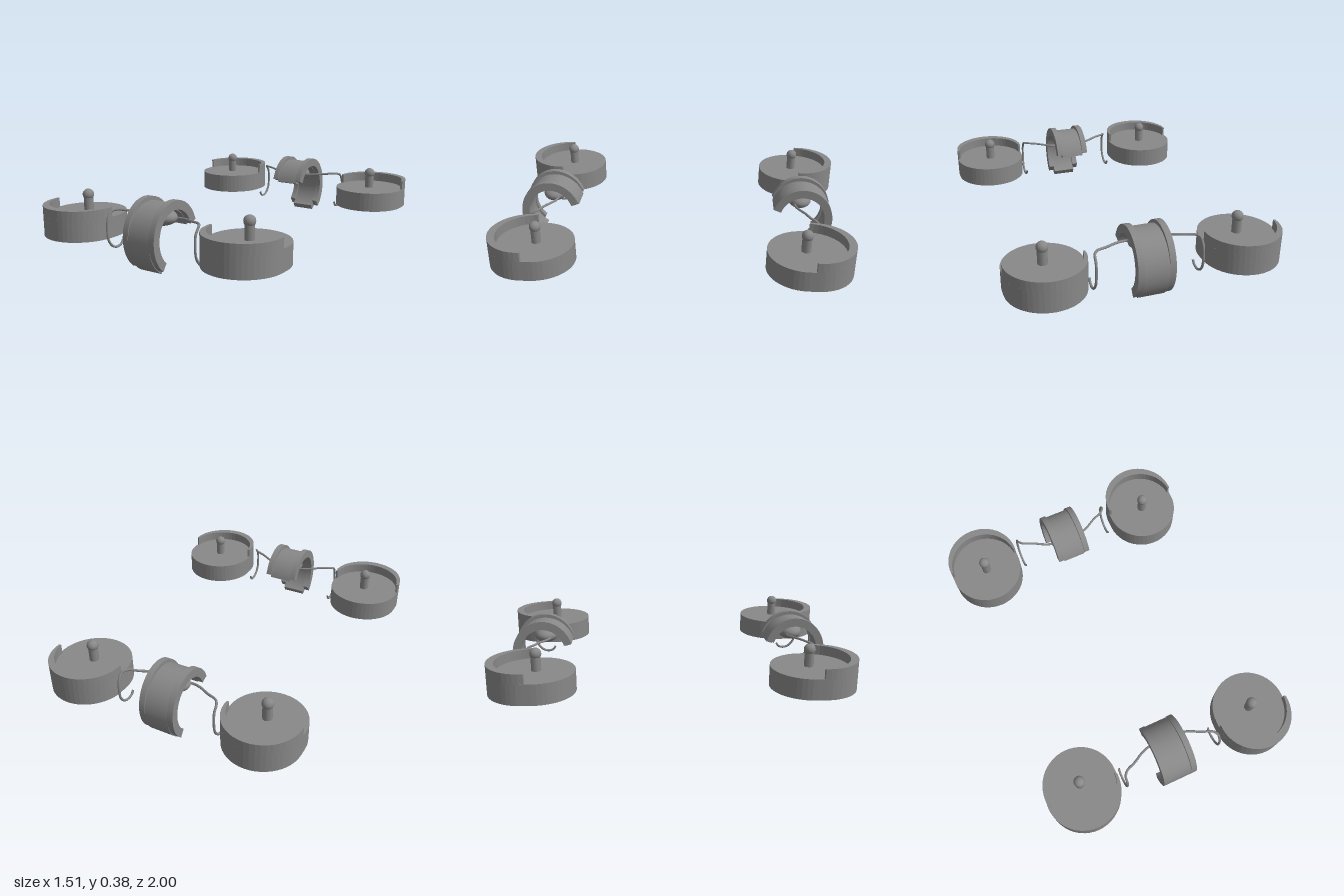
import * as THREE from 'three';

const material = new THREE.MeshStandardMaterial({ color: 0x888888, side: THREE.DoubleSide });

function add(parent, name, geometry, x = 0, y = 0, z = 0) {
  const mesh = new THREE.Mesh(geometry, material);
  mesh.name = name;
  mesh.position.set(x, y, z);
  parent.add(mesh);
  return mesh;
}

// Open elliptical band around the x axis; sizes are [z, y] radii, angles in degrees
function bandGeometry(outer, inner, from, to, width) {
  const a = THREE.MathUtils.degToRad(from), b = THREE.MathUtils.degToRad(to);
  const shape = new THREE.Shape();
  shape.absellipse(0, 0, outer[0], outer[1], a, b, false);
  shape.absellipse(0, 0, inner[0], inner[1], b, a, true);
  const geo = new THREE.ExtrudeGeometry(shape, { depth: width, bevelEnabled: false, curveSegments: 32 });
  return geo.translate(0, 0, -width / 2).rotateY(-Math.PI / 2);
}

// Slab with its outline in the xz plane, reaching down from y = 0
function slabGeometry(shape, depth) {
  return new THREE.ExtrudeGeometry(shape, { depth, bevelEnabled: false, curveSegments: 12 }).rotateX(Math.PI / 2);
}

// Disc outline: a circle lengthened on its outer side
const bodyShape = new THREE.Shape();
bodyShape.absarc(0, 0.787, 0.213, 0, Math.PI, false);
bodyShape.absarc(0, 0.738, 0.213, Math.PI, Math.PI * 2, false);

// Crescent wall that rises above the outer half of the disc
const lipShape = new THREE.Shape();
lipShape.absarc(0, 0.787, 0.213, -0.07, Math.PI + 0.07, false);
lipShape.absarc(0, 0.755, 0.201, Math.PI - 0.07, 0.07, true);

function createDisc(side) {
  const disc = new THREE.Group();
  disc.name = 'disc';
  disc.position.x = side * 0.54;
  add(disc, 'discBody', slabGeometry(bodyShape, 0.117), 0, 0.235, 0);
  add(disc, 'discLip', slabGeometry(lipShape, 0.055), 0, 0.29, 0);
  add(disc, 'knobStem', new THREE.CylinderGeometry(0.027, 0.027, 0.08, 10), 0, 0.273, 0.735);
  add(disc, 'knobBall', new THREE.SphereGeometry(0.032, 16, 12), 0, 0.329, 0.735);
  return disc;
}

// Thin wire running outward from the pad, then hooking down and inward
function wireGeometry(side) {
  const points = [
    [0, 0.268, 0.715], [0.1, 0.274, 0.712], [0.15, 0.279, 0.728], [0.21, 0.284, 0.76],
    [0.27, 0.287, 0.785], [0.29, 0.282, 0.81], [0.293, 0.246, 0.84], [0.294, 0.186, 0.848],
    [0.295, 0.126, 0.842], [0.296, 0.087, 0.815], [0.296, 0.072, 0.78], [0.295, 0.08, 0.745], [0.294, 0.1, 0.73],
  ].map(([x, y, z]) => new THREE.Vector3(side * x, y, z));
  return new THREE.TubeGeometry(new THREE.CatmullRomCurve3(points), 70, 0.007, 8);
}

function createAssembly(name) {
  const assembly = new THREE.Group();
  assembly.name = name;

  // Open band, its core set slightly lower than the raised flange at each end
  const band = new THREE.Group();
  band.name = 'band';
  band.position.set(0, 0.18, 0.757);
  assembly.add(band);
  add(band, 'bandCore', bandGeometry([0.178, 0.19], [0.14, 0.155], -61.5, 161, 0.14), 0, -0.013);
  for (const side of [-1, 1]) {
    add(band, 'bandFlange', bandGeometry([0.179, 0.198], [0.134, 0.148], -52, 161, 0.034), side * 0.086);
  }

  // Rounded pad inside the band, carrying the wires
  add(assembly, 'pad', new THREE.SphereGeometry(1, 20, 14), 0, 0.276, 0.742).scale.set(0.09, 0.046, 0.07);

  for (const side of [-1, 1]) {
    assembly.add(createDisc(side));
    add(assembly, 'wireHook', wireGeometry(side));
  }
  return assembly;
}

export function createModel() {
  const model = new THREE.Group();
  model.name = 'model';
  const front = createAssembly('frontAssembly');
  const back = createAssembly('backAssembly');
  back.rotation.y = Math.PI;
  model.add(front, back);
  return model;
}
